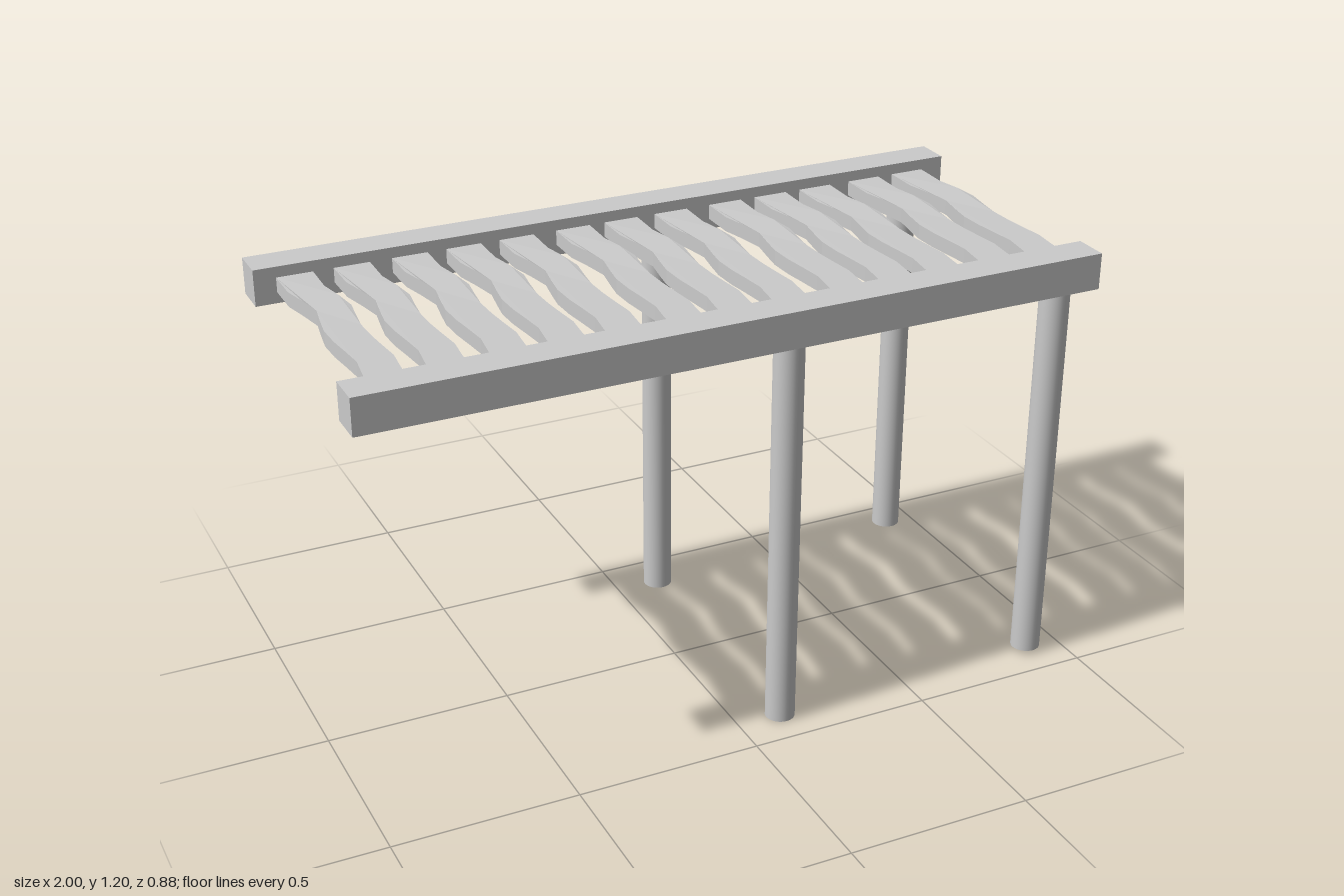
import * as THREE from 'three';

const grey = new THREE.MeshStandardMaterial({ color: 0xcccccc });

// Wavy slat: outline drawn in plan (x, z), extruded to its thickness
function slatGeometry() {
  const path = [ // z, x offset, half width
    [-0.345, 0, 0.048], [-0.24, -0.001, 0.047], [-0.17, 0.014, 0.046], [-0.105, 0.028, 0.044],
    [-0.04, 0.018, 0.045], [0.02, 0.01, 0.046], [0.09, 0.012, 0.046], [0.15, 0.018, 0.045],
    [0.22, 0.025, 0.045], [0.28, 0.018, 0.046], [0.342, 0.012, 0.047],
  ];
  const left = path.map(([z, x, w]) => new THREE.Vector2(x - w, -z));
  const right = path.map(([z, x, w]) => new THREE.Vector2(x + w, -z)).reverse();
  const g = new THREE.ExtrudeGeometry(new THREE.Shape([...left, ...right]), { depth: 0.04, bevelEnabled: false });
  g.rotateX(-Math.PI / 2);
  // the back end sits a touch higher
  const p = g.attributes.position;
  for (let i = 0; i < p.count; i++) {
    const lift = 0.004 * THREE.MathUtils.clamp((-0.1 - p.getZ(i)) / 0.07, 0, 1);
    p.setY(i, p.getY(i) + lift);
  }
  g.computeVertexNormals();
  return g;
}

export function createModel() {
  const model = new THREE.Group();
  model.name = 'pergola';
  const add = (name, geometry, x, y, z) => {
    const mesh = new THREE.Mesh(geometry, grey);
    mesh.name = name;
    mesh.position.set(x, y, z);
    model.add(mesh);
  };

  // Long side beams, the back one slightly higher
  const beam = new THREE.BoxGeometry(2, 0.098, 0.096);
  add('frontBeam', beam, 0, 1.132, 0.39);
  add('backBeam', beam, 0, 1.146, -0.391);

  // Round posts: x, z, bottom, top
  const posts = [
    ['frontInnerPost', 0.125, 0.391, 0, 1.083],
    ['frontOuterPost', 0.898, 0.391, 0.013, 1.083],
    ['backInnerPost', 0.125, -0.382, 0, 1.097],
    ['backOuterPost', 0.898, -0.382, 0.022, 1.097],
  ];
  for (const [name, x, z, bottom, top] of posts) {
    add(name, new THREE.CylinderGeometry(0.04, 0.04, top - bottom, 32), x, (top + bottom) / 2, z);
  }

  // Unevenly spaced wavy slats between the beams
  const slat = slatGeometry();
  const slatX = [-0.894, -0.744, -0.589, -0.442, -0.295, -0.135, 0.004, 0.151, 0.314, 0.453, 0.592, 0.747, 0.887];
  slatX.forEach((x, i) => add(`slat${i + 1}`, slat, x, 1.122, 0));

  return model;
}
